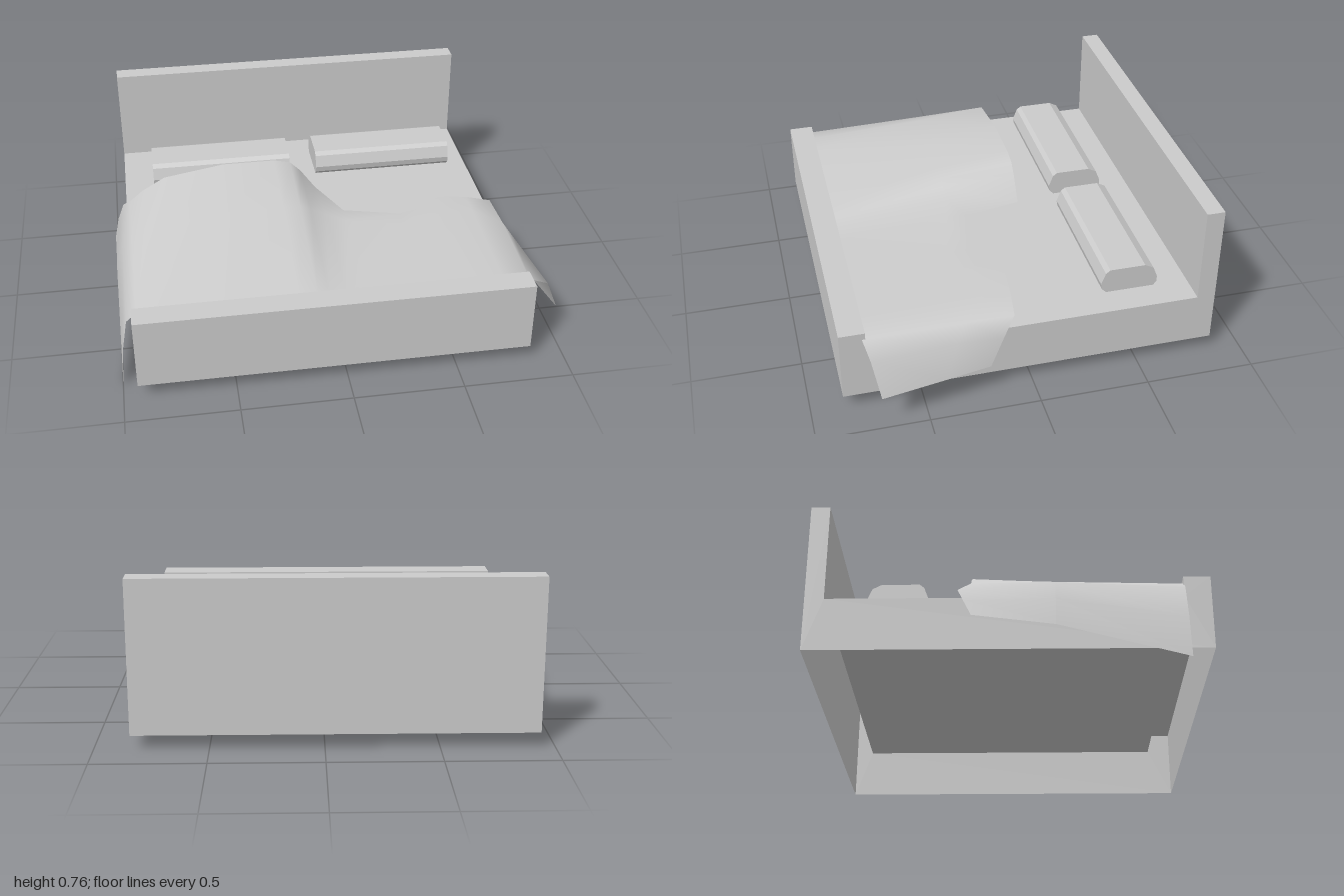
import * as THREE from 'three';

const grey = () => new THREE.MeshStandardMaterial({ color: 0xcccccc, side: THREE.DoubleSide });

// Extrudes a (z, y) outline along x, from x0 to x1
function extrudeAlongX(points, x0, x1) {
  const shape = new THREE.Shape(points.map(([z, y]) => new THREE.Vector2(-z, y)));
  const geo = new THREE.ExtrudeGeometry(shape, { depth: x1 - x0, bevelEnabled: false });
  geo.rotateY(Math.PI / 2);
  geo.translate(x0, 0, 0);
  return geo;
}

// Drops the triangles lying on the floor side, leaving a hollow shell
function openBottom(geo, level) {
  const src = geo.index ? geo.toNonIndexed() : geo;
  const p = src.attributes.position;
  const kept = [];
  for (let i = 0; i < p.count; i += 3) {
    if (Math.max(p.getY(i), p.getY(i + 1), p.getY(i + 2)) < level) continue;
    for (let k = i; k < i + 3; k++) kept.push(p.getX(k), p.getY(k), p.getZ(k));
  }
  const out = new THREE.BufferGeometry();
  out.setAttribute('position', new THREE.Float32BufferAttribute(kept, 3));
  out.computeVertexNormals();
  return out;
}

// Skins a list of cross-sections, each with the same number of points
function loft(sections) {
  const n = sections[0].length;
  const index = [];
  for (let i = 0; i < sections.length - 1; i++) {
    for (let j = 0; j < n - 1; j++) {
      const a = i * n + j, b = a + n;
      index.push(a, a + 1, b, a + 1, b + 1, b);
    }
  }
  const geo = new THREE.BufferGeometry();
  geo.setAttribute('position', new THREE.Float32BufferAttribute(sections.flat(2), 3));
  geo.setIndex(index);
  geo.computeVertexNormals();
  return geo;
}

function blanketGeometry() {
  // Overhang on the -x side, hem first; each section runs back to front
  const rightDrape = [
    [[-1, 0.2, -0.15], [-1, 0.155, 0.2], [-1, 0.005, 0.75]],
    [[-0.98, 0.28, -0.185], [-0.995, 0.28, 0.2], [-0.985, 0.2, 0.747]],
    [[-0.95, 0.345, -0.21], [-0.96, 0.375, 0.2], [-0.96, 0.345, 0.743]],
  ];
  // Top of the blanket: x, back z, back height, middle height
  const top = [
    [-0.915, -0.155, 0.395, 0.40],
    [-0.85, -0.155, 0.45, 0.435],
    [-0.74, -0.155, 0.515, 0.48],
    [-0.45, -0.155, 0.563, 0.515],
    [-0.2, -0.155, 0.563, 0.515],
    [-0.12, -0.155, 0.545, 0.51],
    [-0.07, -0.155, 0.495, 0.49],
    [0.005, -0.155, 0.39, 0.455],
    [0.1, 0.125, 0.42, 0.425],
    [0.365, 0.18, 0.41, 0.412],
    [0.49, 0.14, 0.41, 0.411],
    [0.58, 0.06, 0.41, 0.41],
    [0.72, 0.07, 0.402, 0.405],
  ].map(([x, z, yBack, yMid]) => {
    const zMid = Math.max(0.2, z + 0.1);
    return [[x, yBack, z], [x, yMid, zMid], [x, 0.387, 0.745]];
  });
  // Overhang on the +x side, down to the hem
  const leftDrape = [
    [[0.84, 0.38, 0.085], [0.845, 0.385, 0.3], [0.84, 0.378, 0.755]],
    [[0.87, 0.285, 0.14], [0.895, 0.32, 0.35], [0.935, 0.33, 0.735]],
    [[0.905, 0.168, 0.205], [0.945, 0.17, 0.41], [1, 0.172, 0.705]],
  ];
  return loft([...rightDrape, ...top, ...leftDrape]);
}

// Long cushion: flat ends, smooth rounded sides
function pillowGeometry(x0, x1) {
  const outline = [
    [-0.385, 0.461], [-0.365, 0.445], [-0.345, 0.39], [-0.35, 0.362], [-0.37, 0.342],
    [-0.595, 0.342], [-0.61, 0.362], [-0.61, 0.39], [-0.59, 0.44], [-0.55, 0.461],
  ];
  return extrudeAlongX(outline, x0, x1);
}

export function createModel() {
  const group = new THREE.Group();
  const add = (name, geo) => {
    const mesh = new THREE.Mesh(geo, grey());
    mesh.name = name;
    group.add(mesh);
  };

  // Headboard, mattress platform and footboard as one hollow shell
  const frame = extrudeAlongX([
    [0.855, 0.075], [0.855, 0.41], [0.74, 0.41], [0.74, 0.315],
    [-0.772, 0.315], [-0.772, 0.768], [-0.855, 0.768], [-0.855, 0.075],
  ], -0.935, 0.84);
  add('bedFrame', openBottom(frame, 0.08));

  // Pair of pillows
  add('rightPillow', pillowGeometry(-0.79, -0.095));
  add('leftPillow', pillowGeometry(0.04, 0.735));

  // Rumpled blanket hanging over both sides
  add('blanket', blanketGeometry());

  return group;
}
